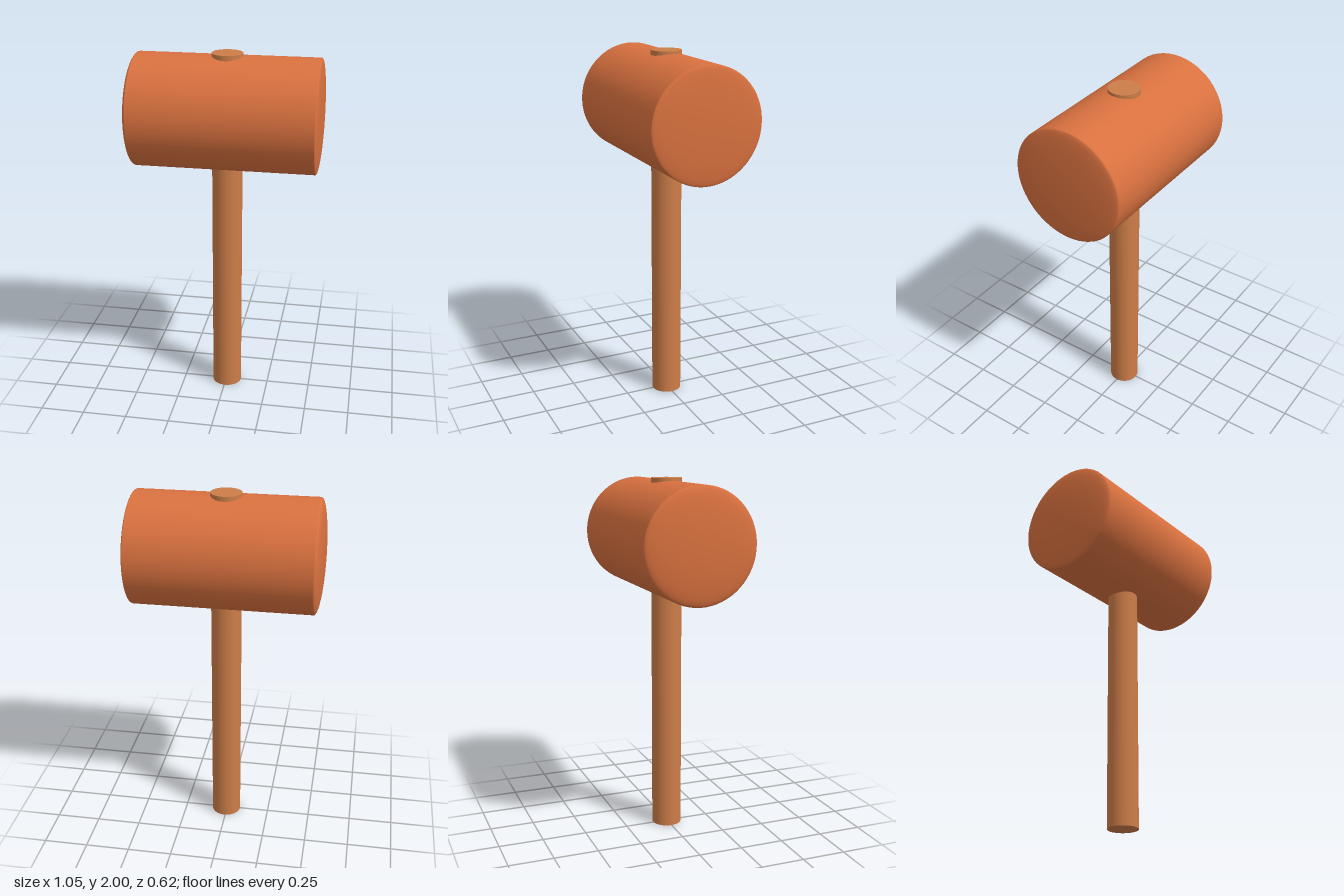
import * as THREE from 'three';

const HEAD_RADIUS = 0.31;
const HEAD_Y = 1.675;
const HANDLE_RADIUS = 0.084;

// Half-ellipse profile of a domed striking face, from its centre out to the rim
function domeProfile(rimX, depth, steps = 16) {
  return Array.from({ length: steps + 1 }, (_, i) => {
    const a = (i / steps) * Math.PI / 2;
    return new THREE.Vector2(HEAD_RADIUS * Math.sin(a), rimX + depth * Math.cos(a));
  });
}

export function createModel() {
  const group = new THREE.Group();
  group.name = 'mallet';

  // Head: a barrel with a deeper dome on the right and a shallower one on the left
  const profile = [...domeProfile(-0.483, -0.044), ...domeProfile(0.498, 0.027).reverse()];
  profile[0].x = profile[profile.length - 1].x = 0;
  const headGeometry = new THREE.LatheGeometry(profile, 64);
  headGeometry.rotateZ(-Math.PI / 2);
  const head = new THREE.Mesh(headGeometry, new THREE.MeshStandardMaterial({ color: 0xd9713f }));
  head.name = 'head';
  head.position.y = HEAD_Y;
  group.add(head);

  // Handle: a straight rod passing through the head and showing just above it
  const handle = new THREE.Mesh(
    new THREE.CylinderGeometry(HANDLE_RADIUS, HANDLE_RADIUS, 2, 48),
    new THREE.MeshStandardMaterial({ color: 0xcd7d48 })
  );
  handle.name = 'handle';
  handle.position.set(0.005, 1, 0);
  group.add(handle);

  return group;
}
